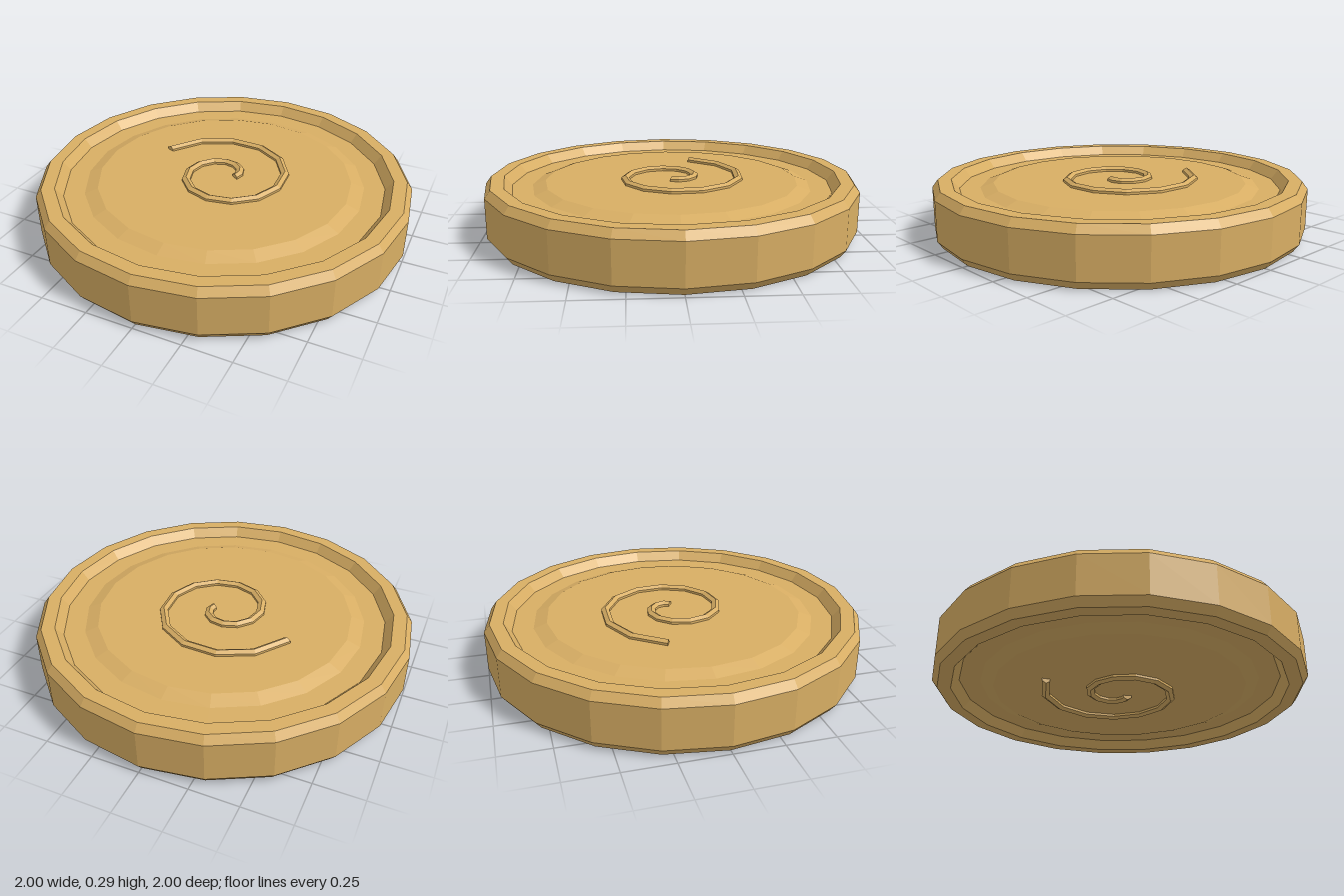
import * as THREE from 'three';

const SIDES = 20;
const HEIGHT = 0.29;

// Flat spiral, sampled by even angle steps
class Spiral extends THREE.Curve {
  constructor(y) {
    super();
    this.y = y;
  }
  getPoint(t, target = new THREE.Vector3()) {
    const a = t * Math.PI * 2.9;
    const r = 0.06 + 0.125 * a / Math.PI;
    return target.set(r * Math.cos(a), this.y, -r * Math.sin(a));
  }
  getPointAt(t, target) { return this.getPoint(t, target); }
  getTangentAt(t, target) { return this.getTangent(t, target); }
}

export function createModel() {
  const model = new THREE.Group();
  model.name = 'coin';
  const gold = new THREE.MeshStandardMaterial({ color: 0xd8ae64, flatShading: true });
  gold.name = 'gold';

  // Upper half profile from the outer edge to the centre; the lower half mirrors it
  const upper = [[1, 0.25], [0.97, 0.29], [0.9, 0.29], [0.86, 0.24], [0.75, 0.24], [0.68, 0.265], [0, 0.265]];
  const lower = upper.map(([r, y]) => [r, HEIGHT - y]).reverse();
  const profile = [...lower, ...upper].map(([r, y]) => new THREE.Vector2(r, y));
  const disc = new THREE.Mesh(new THREE.LatheGeometry(profile, SIDES), gold);
  disc.name = 'disc';
  model.add(disc);

  // Raised spiral on each face, with closed ends
  const addSpiral = (name, y) => {
    const group = new THREE.Group();
    group.name = name;
    const curve = new Spiral(y);
    const tube = new THREE.Mesh(new THREE.TubeGeometry(curve, 19, 0.025, 6, false), gold);
    tube.name = name + 'Tube';
    group.add(tube);
    for (const [t, dir] of [[0, -1], [1, 1]]) {
      const cap = new THREE.Mesh(new THREE.CircleGeometry(0.025, 6), gold);
      cap.name = name + 'End';
      cap.position.copy(curve.getPoint(t));
      cap.lookAt(cap.position.clone().addScaledVector(curve.getTangent(t), dir));
      cap.rotateZ(Math.PI / 2);
      group.add(cap);
    }
    model.add(group);
  };
  addSpiral('topSpiral', 0.265);
  addSpiral('bottomSpiral', HEIGHT - 0.265);

  return model;
}
